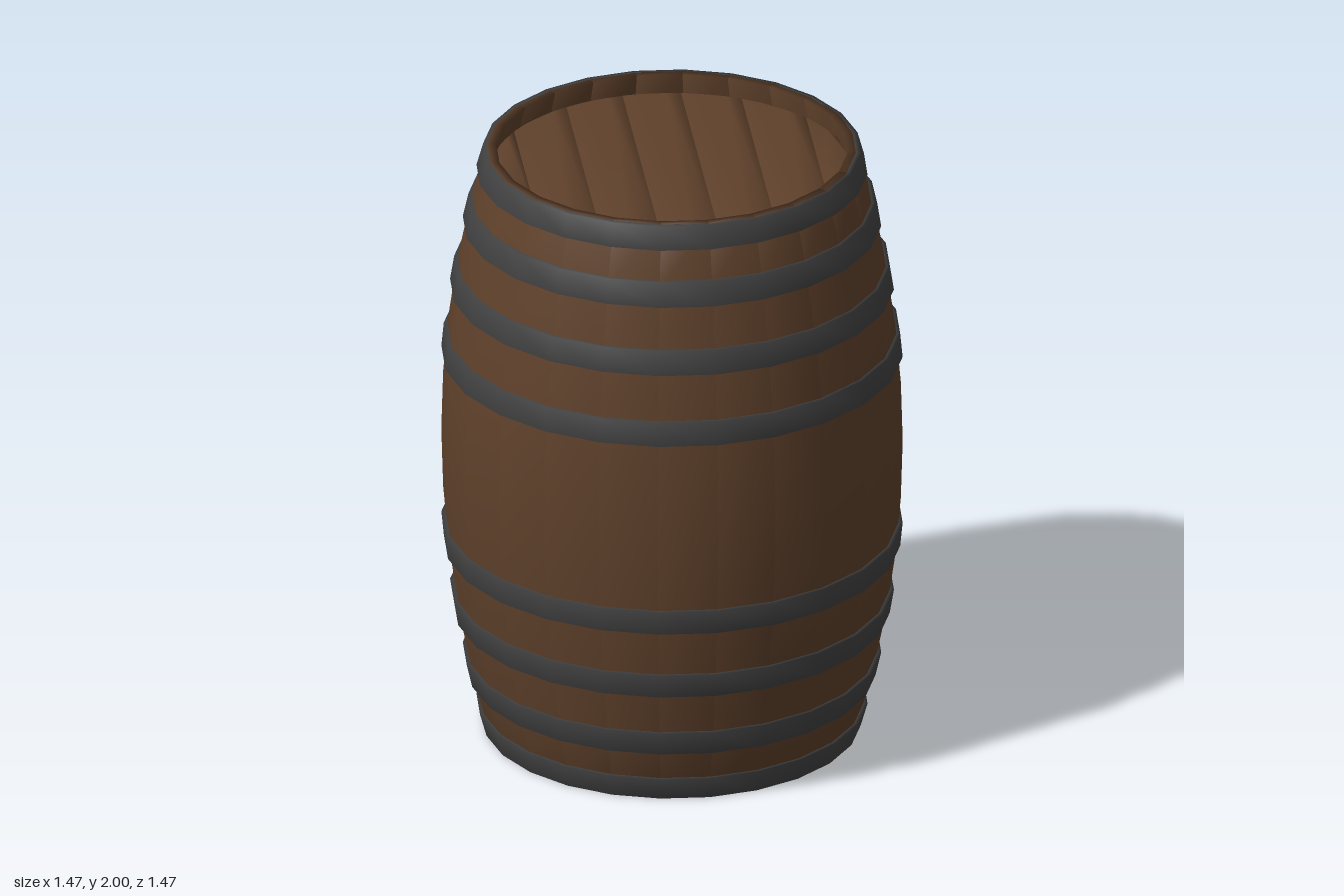
import * as THREE from 'three';
import { mergeVertices } from 'three/addons/utils/BufferGeometryUtils.js';

const SIDES = 24;
const STEP = (Math.PI * 2) / SIDES;

// Outer radius of the bulging barrel wall at a given height
const wallRadius = (y) => 0.735 - 0.145 * (y - 1) ** 2;

// One curved stave: a four-cornered section swept up the barrel, softly shaded
function staveGeometry(rows = 10, thickness = 0.03) {
  const positions = [];
  const index = [];
  for (let i = 0; i <= rows; i++) {
    const y = (2 * i) / rows;
    const outer = wallRadius(y);
    const inner = outer - thickness;
    for (const [r, a] of [[outer, 0], [outer, STEP], [inner, STEP], [inner, 0]]) {
      positions.push(r * Math.sin(a), y, r * Math.cos(a));
    }
  }
  for (let i = 0; i < rows; i++) {
    for (let j = 0; j < 4; j++) {
      const a = i * 4 + j;
      const b = i * 4 + ((j + 1) % 4);
      index.push(a, b, b + 4, a, b + 4, a + 4);
    }
  }
  const t = rows * 4;
  index.push(t, t + 1, t + 2, t, t + 2, t + 3, 0, 2, 1, 0, 3, 2);
  const geometry = new THREE.BufferGeometry();
  geometry.setAttribute('position', new THREE.Float32BufferAttribute(positions, 3));
  geometry.setIndex(index);
  geometry.computeVertexNormals();
  return geometry;
}

// Hoop that follows the slope of the wall between two heights
function hoopGeometry(y0, y1) {
  const r0 = wallRadius(y0);
  const r1 = wallRadius(y1);
  const profile = [
    [r0 - 0.004, y0], [r0 + 0.012, y0], [r1 + 0.012, y1], [r1 - 0.004, y1],
  ].map(([r, y]) => new THREE.Vector2(r, y));
  return new THREE.LatheGeometry(profile, SIDES);
}

// Head plank: a strip of a disc between x0 and x1, with rounded ends
function plankGeometry(x0, x1, radius, thickness) {
  const steps = 4;
  const points = [];
  const end = (x) => Math.sqrt(Math.max(0, radius * radius - x * x));
  for (let i = 0; i <= steps; i++) {
    const x = THREE.MathUtils.lerp(x0, x1, i / steps);
    points.push(new THREE.Vector2(x, -end(x)));
  }
  for (let i = steps; i >= 0; i--) {
    const x = THREE.MathUtils.lerp(x0, x1, i / steps);
    if (end(x) > 0) points.push(new THREE.Vector2(x, end(x)));
  }
  let geometry = new THREE.ExtrudeGeometry(new THREE.Shape(points), {
    depth: thickness, bevelEnabled: false,
  });
  geometry.rotateX(-Math.PI / 2);
  geometry.deleteAttribute('normal');
  geometry.deleteAttribute('uv');
  geometry = mergeVertices(geometry);
  geometry.computeVertexNormals();
  return geometry;
}

export function createModel() {
  const wood = new THREE.MeshStandardMaterial({ color: 0x5f412b });
  wood.name = 'brown wood';
  const iron = new THREE.MeshStandardMaterial({ color: 0x424243 });
  iron.name = 'dark iron';

  const barrel = new THREE.Group();
  barrel.name = 'barrel';
  const add = (parent, name, geometry, material) => {
    const mesh = new THREE.Mesh(geometry, material);
    mesh.name = name;
    parent.add(mesh);
    return mesh;
  };

  // Staves around the wall
  const staves = new THREE.Group();
  staves.name = 'staves';
  const stave = staveGeometry();
  for (let i = 0; i < SIDES; i++) add(staves, 'stave', stave, wood).rotation.y = i * STEP;
  barrel.add(staves);

  // Four hoops on each half, mirrored about the middle
  const hoops = new THREE.Group();
  hoops.name = 'hoops';
  for (const [y0, y1] of [[0, 0.075], [0.175, 0.255], [0.395, 0.475], [0.63, 0.71]]) {
    add(hoops, 'lowerHoop', hoopGeometry(y0, y1), iron);
    add(hoops, 'upperHoop', hoopGeometry(2 - y1, 2 - y0), iron);
  }
  barrel.add(hoops);

  // Recessed heads made of seven planks, turned slightly
  const radius = 0.575;
  const width = 0.187;
  const thickness = 0.04;
  for (const [name, y] of [['topHead', 1.93 - thickness], ['bottomHead', 0.07]]) {
    const head = new THREE.Group();
    head.name = name;
    head.position.y = y;
    head.rotation.y = THREE.MathUtils.degToRad(10);
    for (let i = -3; i <= 3; i++) {
      const x0 = Math.max(-radius, (i - 0.5) * width);
      const x1 = Math.min(radius, (i + 0.5) * width);
      add(head, 'headPlank', plankGeometry(x0, x1, radius, thickness), wood);
    }
    barrel.add(head);
  }
  return barrel;
}
